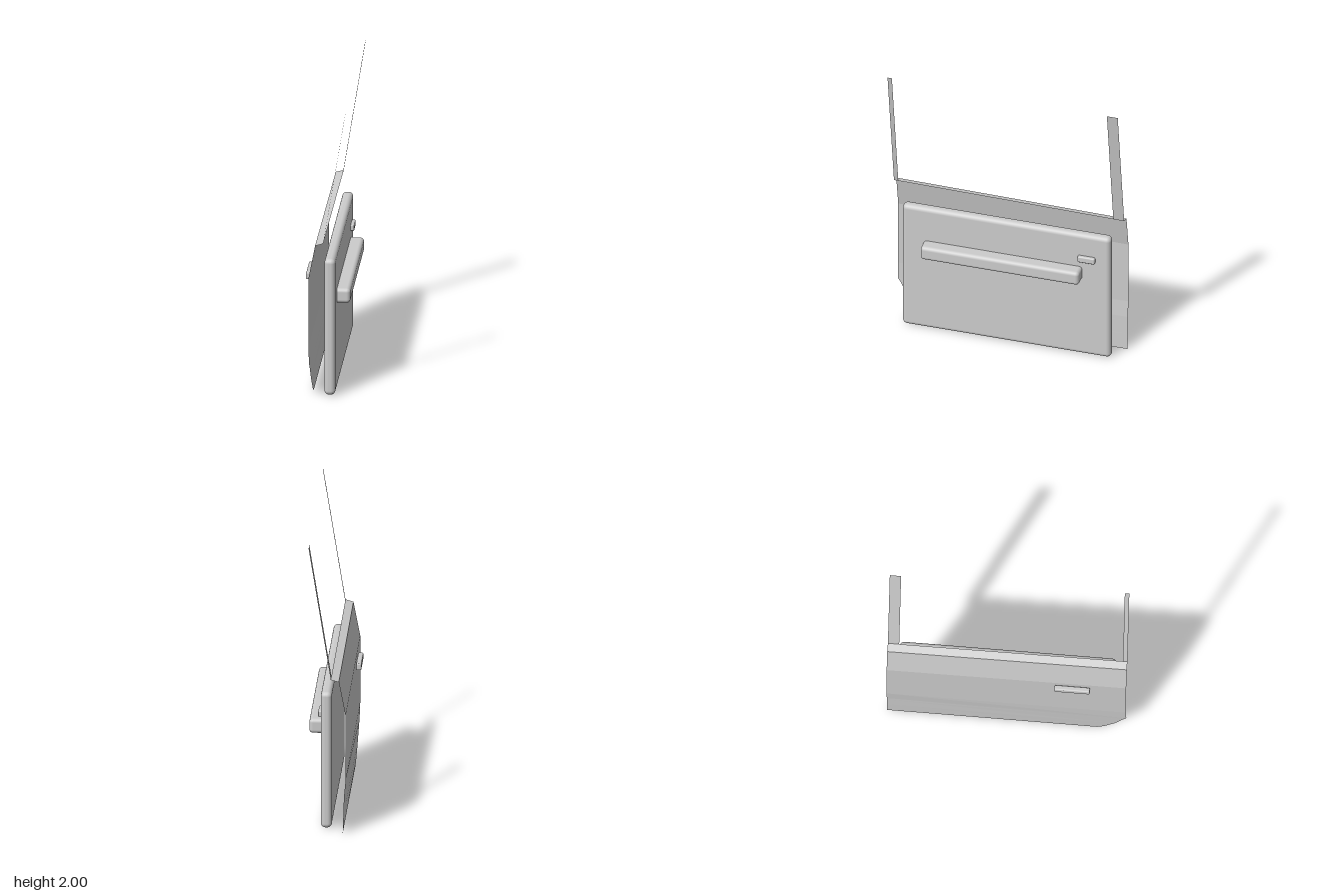
import * as THREE from 'three';
import { RoundedBoxGeometry } from 'three/addons/geometries/RoundedBoxGeometry.js';

const grey = new THREE.MeshStandardMaterial({ color: 0xcccccc, side: THREE.DoubleSide });
grey.name = 'plain grey';

// Open sheet through rows of [front point, rear point], flat facets
function sheet(name, rows) {
  const index = [];
  for (let i = 0; i < rows.length - 1; i++) {
    const a = i * 2;
    index.push(a, a + 1, a + 2, a + 1, a + 3, a + 2);
  }
  const indexed = new THREE.BufferGeometry();
  indexed.setAttribute('position', new THREE.Float32BufferAttribute(rows.flat(2), 3));
  indexed.setIndex(index);
  const geometry = indexed.toNonIndexed();
  geometry.computeVertexNormals();
  const mesh = new THREE.Mesh(geometry, grey);
  mesh.name = name;
  return mesh;
}

// Rounded block given by its [min, max] on each axis
function block(name, [x0, x1], [y0, y1], [z0, z1], radius) {
  const geometry = new RoundedBoxGeometry(x1 - x0, y1 - y0, z1 - z0, 4, radius);
  const mesh = new THREE.Mesh(geometry, grey);
  mesh.position.set((x0 + x1) / 2, (y0 + y1) / 2, (z0 + z1) / 2);
  mesh.name = name;
  return mesh;
}

export function createModel() {
  const group = new THREE.Group();
  group.name = 'door';
  const rear = -0.795;

  // Outer skin: xFront, xRear, yFront, yRear, zFront, from sill rail to bottom
  const skin = [
    [-0.068, -0.068, 1.075, 1.055, 0.795],
    [-0.113, -0.113, 0.84, 0.82, 0.795],
    [-0.113, -0.113, 0.37, 0.37, 0.795],
    [-0.108, -0.102, 0.25, 0.25, 0.795],
    [-0.106, -0.101, 0.22, 0.22, 0.775],
    [-0.101, -0.098, 0.12, 0.12, 0.72],
    [-0.096, -0.095, 0.03, 0.03, 0.645],
    [-0.094, -0.094, 0, 0, 0.6],
  ];
  group.add(sheet('outerSkin', skin.map(([xf, xr, yf, yr, z]) => [[xf, yf, z], [xr, yr, rear]])));

  // Sloped ledge under the window
  group.add(sheet('windowLedge', [
    [[-0.015, 1.09, 0.795], [-0.015, 1.07, rear]],
    [[-0.068, 1.075, 0.795], [-0.068, 1.055, rear]],
  ]));

  // Leaning window posts
  const posts = [
    ['frontPost', 0.795, 0.765, 1.09, 2],
    ['rearPost', -0.72, rear, 1.07, 1.985],
  ];
  for (const [name, z0, z1, y0, y1] of posts) {
    group.add(sheet(name, [
      [[0.132, y1, z0], [0.132, y1, z1]],
      [[-0.015, y0, z0], [-0.015, y0, z1]],
    ]));
  }

  // Inner trim and handles
  group.add(block('innerPanel', [-0.015, 0.057], [0.005, 0.952], [-0.72, 0.718], 0.03));
  group.add(block('armrest', [0.03, 0.145], [0.6, 0.7], [-0.527, 0.568], 0.025));
  group.add(block('innerHandle', [0.04, 0.08], [0.745, 0.79], [-0.617, -0.498], 0.009));
  group.add(block('outerHandle', [-0.149, -0.115], [0.757, 0.805], [0.32, 0.555], 0.009));

  return group;
}
